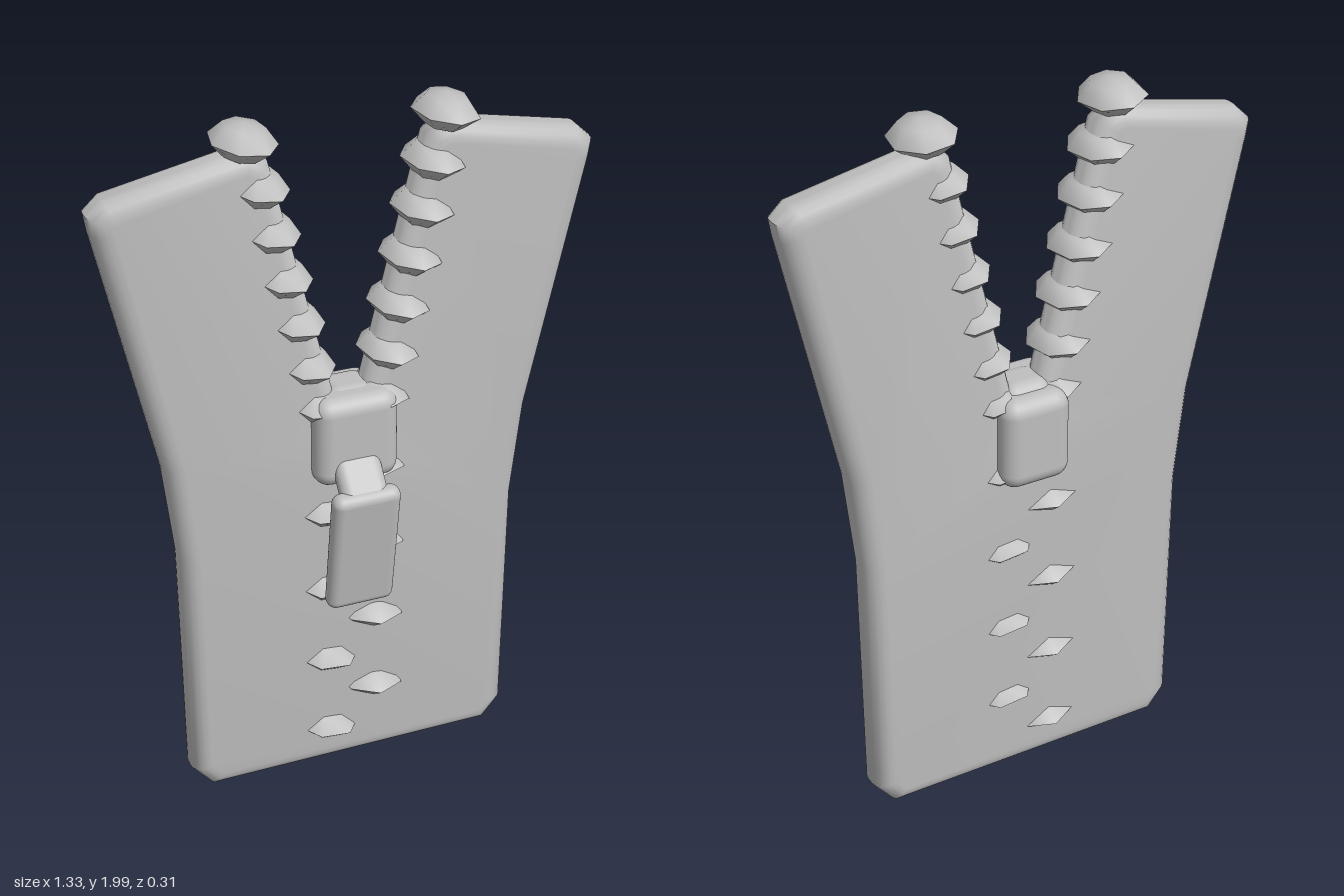
import * as THREE from 'three';
import { toCreasedNormals } from 'three/addons/utils/BufferGeometryUtils.js';
import { RoundedBoxGeometry } from 'three/addons/geometries/RoundedBoxGeometry.js';

const MID_Z = -0.04; // middle of the cloth thickness

export function createModel() {
  const group = new THREE.Group();
  const grey = new THREE.MeshStandardMaterial({ color: 0xbfbfbf });
  grey.name = 'grey';

  const add = (name, geometry, x, y, z, rx = 0, rz = 0) => {
    const mesh = new THREE.Mesh(geometry, grey);
    mesh.name = name;
    mesh.position.set(x, y, z);
    mesh.rotation.set(rx, 0, rz);
    group.add(mesh);
    return mesh;
  };

  // Cloth: half outline mirrored, with a fully rounded rim
  const half = [
    [0.395, 0.058], [0.425, 0.095], [0.43, 0.8], [0.46, 1.08], [0.61, 1.78],
    [0.613, 1.8], [0.6, 1.812], [0.27, 1.878], [0.252, 1.865], [0.085, 1.18],
  ];
  const mirrored = half.map(([x, y]) => [-x, y]).reverse();
  const outline = [...half, [0, 1.1], ...mirrored].map(([x, y]) => new THREE.Vector2(x, y));
  const cloth = new THREE.ExtrudeGeometry(new THREE.Shape(outline), {
    depth: 0.02, bevelEnabled: true, bevelSize: 0.05, bevelThickness: 0.05, bevelSegments: 5,
  });
  cloth.translate(0, 0, -0.01);
  add('cloth', toCreasedNormals(cloth, 0.9), 0, 0, MID_Z);

  // Teeth: faceted lozenges with a sharp rim
  const profile = [[0, -0.046], [0.055, -0.04], [0.1, -0.004], [0.06, 0.036], [0, 0.046]]
    .map(([r, y]) => new THREE.Vector2(r, y));
  const tooth = toCreasedNormals(new THREE.LatheGeometry(profile, 7), 0.75);
  const addTooth = (name, side, x, y, width, tilt) => {
    const mesh = add(name, tooth, side * x, y, MID_Z + 0.006, 0, -side * tilt);
    mesh.scale.set(side * width, 1, 1.04);
    // a negative scale is avoided by turning the tooth around instead
    if (side < 0) {
      mesh.scale.x = width;
      mesh.rotation.y = Math.PI;
      mesh.rotation.z = -tilt * side;
    }
  };

  // Open teeth along both edges of the V
  const open = [
    [0.265, 1.95], [0.232, 1.825], [0.205, 1.7], [0.175, 1.57],
    [0.143, 1.44], [0.115, 1.31], [0.09, 1.19],
  ];
  for (const side of [-1, 1]) {
    open.forEach(([x, y], i) => addTooth('openTooth', side, x, y, i === 0 ? 0.88 : 0.82, 0.13));
  }

  // Closed teeth alternating down the middle
  for (let i = 0; i < 8; i++) {
    addTooth('closedTooth', i % 2 ? 1 : -1, 0.066, 0.135 + i * 0.121, 0.98, 0.1);
  }

  // Slider: front and back shells
  add('sliderFront', new RoundedBoxGeometry(0.235, 0.26, 0.15, 4, 0.045), 0, 1.095, -0.005);
  add('sliderBack', new RoundedBoxGeometry(0.2, 0.26, 0.13, 4, 0.045), 0, 1.08, -0.09);
  add('sliderTop', new RoundedBoxGeometry(0.15, 0.12, 0.14, 4, 0.045), 0, 1.17, MID_Z);

  // Pull tab hanging from a short neck
  add('pullNeck', new RoundedBoxGeometry(0.13, 0.17, 0.06, 4, 0.028), -0.005, 0.99, 0.085, -0.75);
  add('pullTab', new RoundedBoxGeometry(0.19, 0.39, 0.058, 4, 0.027), -0.005, 0.79, 0.1, 0.15);

  return group;
}
